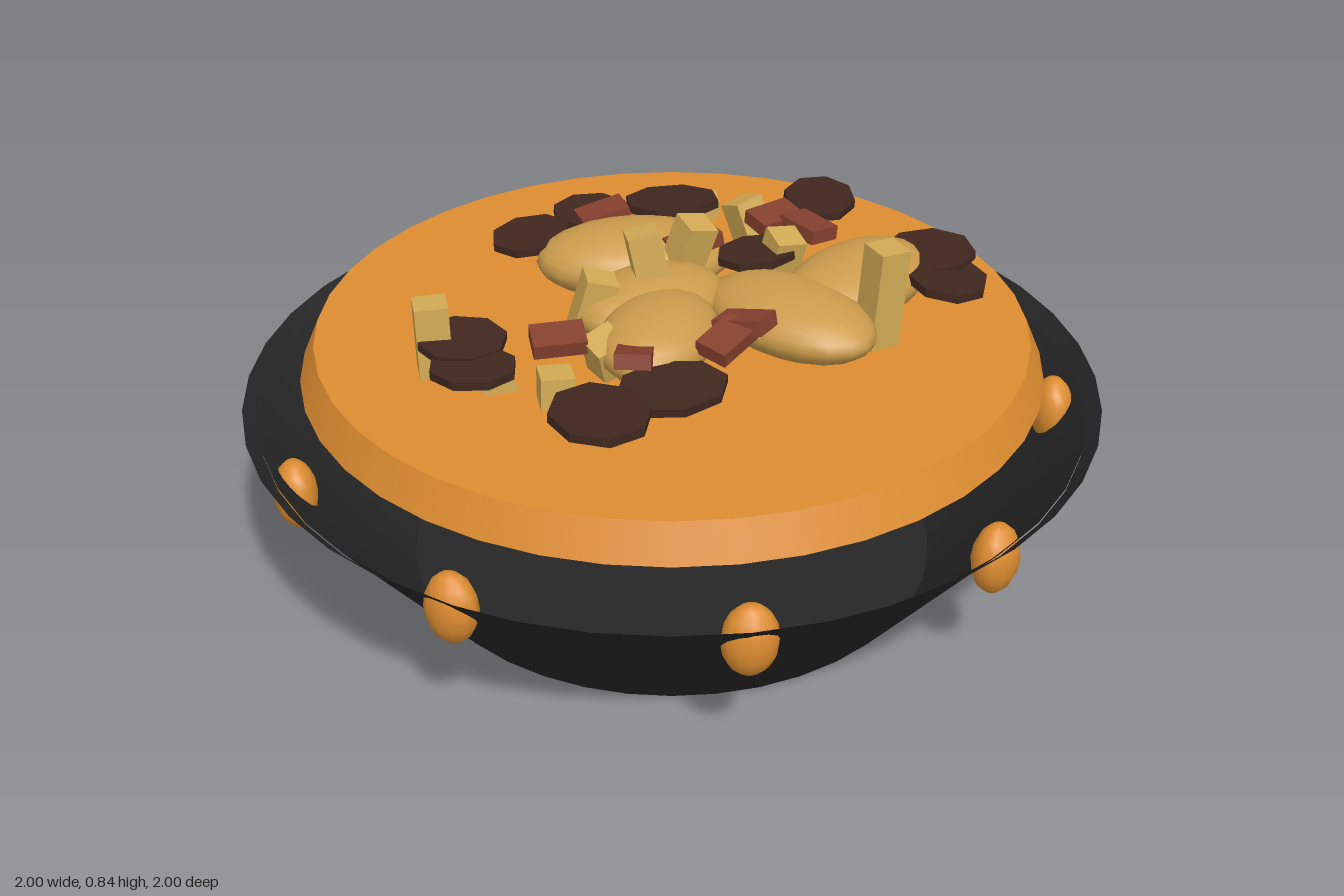
import * as THREE from 'three';

const mat = (color, extra = {}) => new THREE.MeshStandardMaterial({ color, ...extra });

export function createModel() {
  const model = new THREE.Group();
  const dark = mat(0x262626, { side: THREE.DoubleSide });
  const orange = mat(0xdd8c30);
  const gold = mat(0xcc9c4c);
  const straw = mat(0xd2aa54, { flatShading: true });
  const brown = mat(0x40271f, { flatShading: true });
  const red = mat(0x85402e, { flatShading: true });

  const add = (parent, name, geometry, material, x = 0, y = 0, z = 0) => {
    const mesh = new THREE.Mesh(geometry, material);
    mesh.name = name;
    mesh.position.set(x, y, z);
    parent.add(mesh);
    return mesh;
  };
  const group = (name) => {
    const g = new THREE.Group();
    g.name = name;
    model.add(g);
    return g;
  };

  // Flared open bowl with a flat base and a slightly wider rim band
  const bowl = group('bowl');
  add(bowl, 'bowlWall', new THREE.CylinderGeometry(0.965, 0.63, 0.42, 40, 1, true), dark, 0, 0.21, 0);
  const base = add(bowl, 'bowlBase', new THREE.CircleGeometry(0.63, 40), dark);
  base.rotation.x = Math.PI / 2;
  add(bowl, 'bowlRim', new THREE.CylinderGeometry(1, 0.965, 0.035, 40, 1, true), dark, 0, 0.4325, 0);

  // Broth slab hovering above the rim
  add(model, 'broth', new THREE.CylinderGeometry(0.825, 0.862, 0.085, 40), orange, 0, 0.5575, 0);

  // Nine drops around the bowl wall
  const drops = group('drops');
  const dropGeo = new THREE.SphereGeometry(1, 12, 8);
  const dropHeights = [0.36, 0.34, 0.36, 0.36, 0.325, 0.33, 0.36, 0.36, 0.34];
  dropHeights.forEach((y, i) => {
    const a = (i * Math.PI * 2) / 9;
    const drop = add(drops, 'drop', dropGeo, orange, 0.905 * Math.cos(a), y, 0.905 * Math.sin(a));
    drop.scale.set(0.05, 0.085, 0.062);
    drop.rotation.y = -a;
  });

  // Rounded dumplings: x, y, z, half length, half height, half width, turn
  const dumplings = group('dumplings');
  const lump = new THREE.SphereGeometry(1, 20, 12);
  [
    [-0.09, 0.66, -0.21, 0.235, 0.085, 0.145, 0.12],
    [0.43, 0.66, -0.08, 0.225, 0.075, 0.135, 0.85],
    [0.27, 0.655, 0.08, 0.225, 0.075, 0.14, -0.75],
    [-0.03, 0.665, 0.19, 0.185, 0.075, 0.13, 1.25],
    [-0.05, 0.66, 0.02, 0.19, 0.075, 0.13, 0.6],
  ].forEach(([x, y, z, a, b, c, turn]) => {
    const m = add(dumplings, 'dumpling', lump, gold, x, y, z);
    m.scale.set(a, b, c);
    m.rotation.y = turn;
  });

  // Thin eight-sided mushroom slices: x, y, z, radius x, radius z, turn
  const mushrooms = group('mushrooms');
  const slice = new THREE.CylinderGeometry(1, 1, 0.02, 8);
  [
    [-0.34, 0.685, -0.27, 0.1, 0.09, 0.5],
    [-0.2, 0.69, -0.39, 0.1, 0.085, 0.6],
    [0, 0.7, -0.43, 0.12, 0.095, -0.3],
    [0.37, 0.68, -0.49, 0.09, 0.12, -0.2],
    [0.61, 0.69, -0.17, 0.11, 0.1, -0.2],
    [0.64, 0.68, -0.06, 0.095, 0.12, 0.1],
    [0.2, 0.71, -0.13, 0.1, 0.08, 0.4],
    [-0.46, 0.685, 0.25, 0.1, 0.09, 0.3],
    [-0.43, 0.675, 0.35, 0.1, 0.09, -0.4],
    [-0.15, 0.68, 0.55, 0.11, 0.13, 0.2],
    [0, 0.67, 0.43, 0.125, 0.095, 0.3],
  ].forEach(([x, y, z, rx, rz, turn], i) => {
    const m = add(mushrooms, 'mushroomSlice', slice, brown, x, y, z);
    m.scale.set(rx, 1, rz);
    m.rotation.set(0.08 * Math.sin(i * 2), turn, 0.08 * Math.cos(i * 3));
  });

  // Small red meat pieces: x, y, z, turn
  const meat = group('meatPieces');
  const chunk = new THREE.BoxGeometry(0.12, 0.035, 0.08);
  [
    [-0.17, 0.7, -0.36, 0.35], [0.25, 0.7, -0.34, 0.6], [0.33, 0.7, -0.29, -0.9],
    [0.05, 0.73, -0.15, 0.5], [-0.25, 0.69, 0.25, 0.2], [-0.08, 0.7, 0.34, 1.5],
    [0.16, 0.71, 0.21, -0.5], [0.12, 0.7, 0.27, 0.9],
  ].forEach(([x, y, z, turn], i) => {
    const m = add(meat, 'meatPiece', chunk, red, x, y, z);
    m.rotation.set(0.2 * Math.sin(i * 2), turn, 0.2 * Math.cos(i * 2));
  });

  // Square fries running from inside the bowl up through the broth: top point, bottom point, twist
  const fries = group('fries');
  const up = new THREE.Vector3(0, 1, 0);
  [
    [0.48, 0.84, 0.1, 0.45, 0.35, 0.1, 0.5],
    [-0.53, 0.77, 0.23, -0.52, 0.35, 0.24, 0.2],
    [-0.07, 0.83, 0, 0.02, 0.38, 0.03, 0.2],
    [0.06, 0.8, -0.11, -0.08, 0.36, -0.14, 0.5],
    [0.27, 0.75, -0.14, 0.18, 0.35, -0.2, 0.4],
    [0.17, 0.72, -0.4, 0.3, 0.36, -0.32, 0.6],
    [0.08, 0.65, -0.57, 0.06, 0.3, -0.56, 0.1],
    [-0.16, 0.75, 0.07, -0.28, 0.34, 0.08, 0.2],
    [-0.15, 0.7, 0.27, -0.1, 0.33, 0.12, 0.6],
    [-0.25, 0.67, 0.36, -0.26, 0.3, 0.38, 0.2],
    [-0.4, 0.66, 0.3, -0.3, 0.32, 0.28, 0.3],
    [-0.74, 0.53, -0.1, -0.5, 0.32, -0.12, 0.2],
    [-0.55, 0.54, -0.3, -0.35, 0.3, -0.4, 0.4],
    [0.3, 0.54, -0.45, 0.1, 0.3, -0.3, 0.2],
  ].forEach(([x1, y1, z1, x2, y2, z2, twist]) => {
    const top = new THREE.Vector3(x1, y1, z1);
    const bottom = new THREE.Vector3(x2, y2, z2);
    const dir = top.clone().sub(bottom);
    const m = add(fries, 'fry', new THREE.BoxGeometry(0.075, dir.length(), 0.075), straw);
    m.position.copy(top).add(bottom).multiplyScalar(0.5);
    m.quaternion.setFromUnitVectors(up, dir.normalize());
    m.rotateY(twist);
  });

  return model;
}
